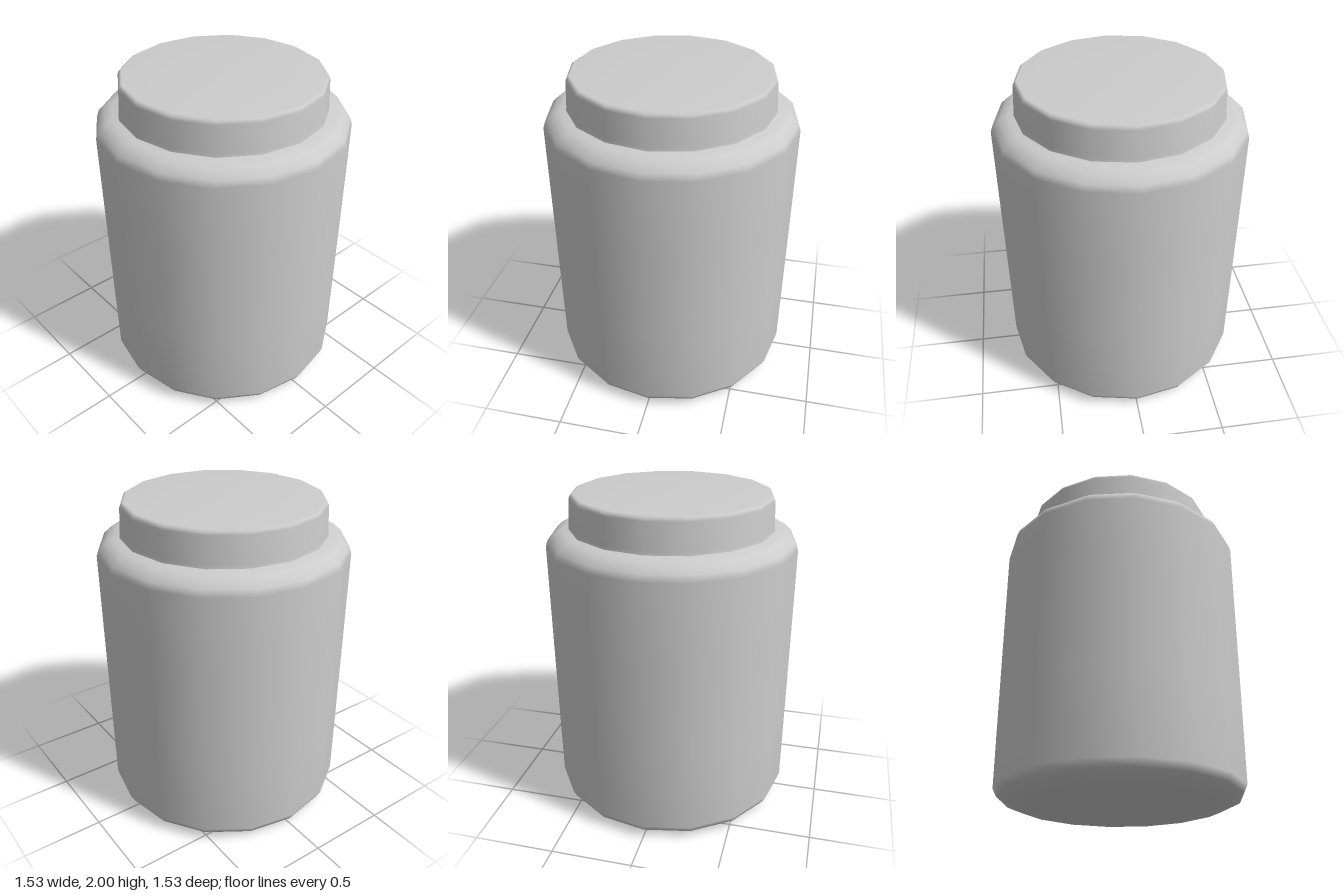
import * as THREE from 'three';

const SIDES = 16;

// Turns a bottom-to-top [radius, height] profile around the y axis.
function turned(name, profile, material) {
  const points = profile.map(([r, y]) => new THREE.Vector2(r, y));
  const mesh = new THREE.Mesh(new THREE.LatheGeometry(points, SIDES), material);
  mesh.name = name;
  return mesh;
}

export function createModel() {
  const grey = new THREE.MeshStandardMaterial({ color: 0xcccccc });
  grey.name = 'plain grey';

  const jar = new THREE.Group();
  jar.name = 'jar';

  // Body with bevelled foot and rounded shoulder
  jar.add(turned('body', [
    [0, 0], [0.35, 0.005], [0.65, 0.012], [0.73, 0.045], [0.755, 0.09],
    [0.758, 0.6], [0.761, 1.2], [0.763, 1.68], [0.75, 1.72], [0.705, 1.762],
    [0.66, 1.774], [0.61, 1.785],
  ], grey));

  // Lid with slightly tapered wall, narrow bevel and shallow crown
  jar.add(turned('lid', [
    [0.625, 1.776], [0.62, 1.8], [0.612, 1.962], [0.605, 1.98],
    [0.59, 1.99], [0.3, 1.997], [0, 2],
  ], grey));

  return jar;
}
